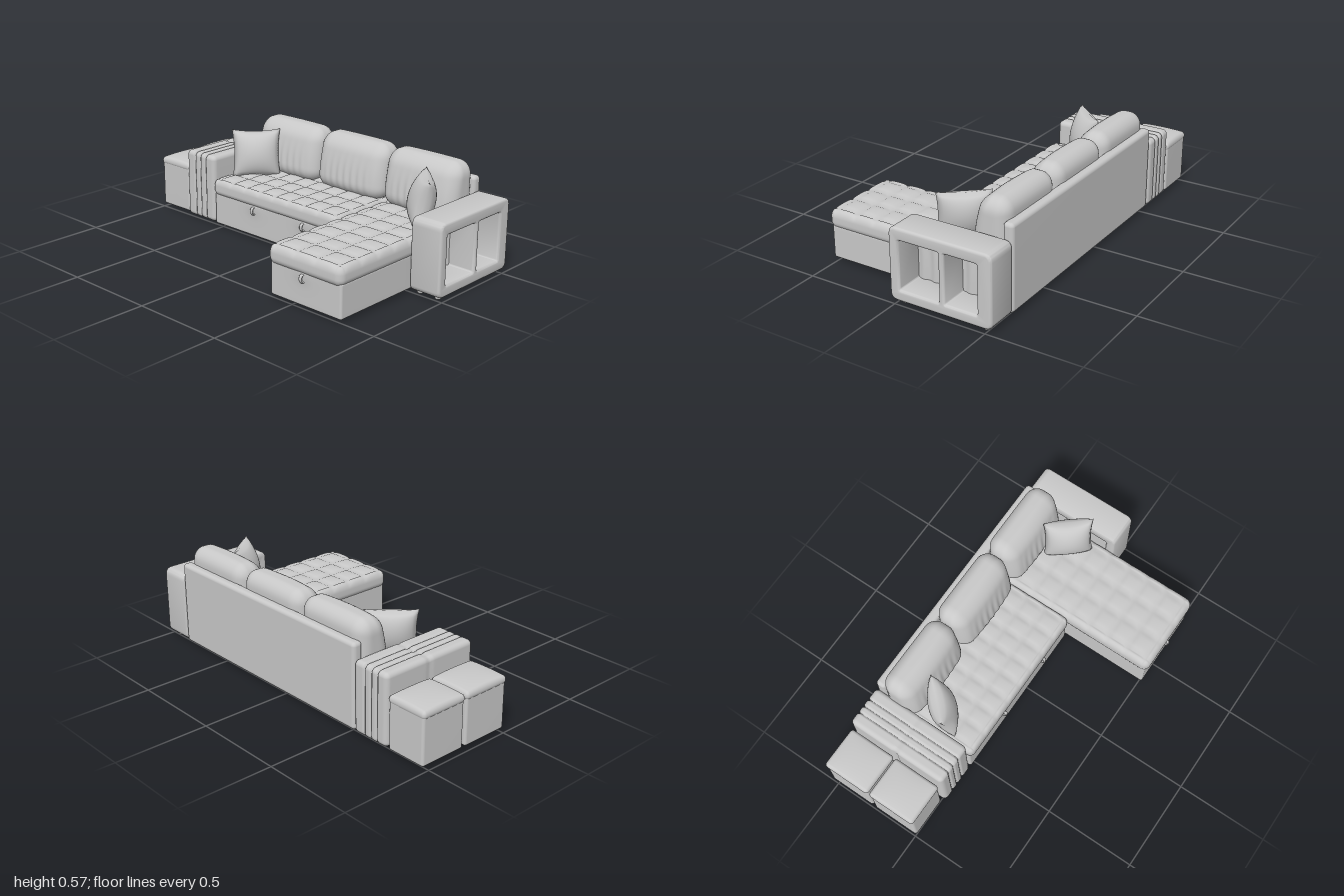
import * as THREE from 'three';
import { mergeVertices, toCreasedNormals } from 'three/addons/utils/BufferGeometryUtils.js';

const fabric = new THREE.MeshStandardMaterial({ color: 0xc8c8c8 });
fabric.name = 'greyFabric';

const dip = (v, at, width) => Math.exp(-(((v - at) / width) ** 2));

function smooth(geo) {
  geo.deleteAttribute('normal');
  geo.deleteAttribute('uv');
  const merged = mergeVertices(geo);
  merged.computeVertexNormals();
  return merged;
}

// Rounded upholstered block between two corners; shape(v) moves each point further
function softBox(min, max, r, segs, shape) {
  const K = 4;
  const size = max.map((m, i) => m - min[i]);
  const n = segs.map((s) => s + 2 * K);
  const geo = new THREE.BoxGeometry(1, 1, 1, ...n);
  const pos = geo.attributes.position;
  const place = (i, count, len) => {
    const edge = (k) => r * (1 - Math.tan((Math.PI / 4) * (1 - k / K)));
    if (i <= K) return -len / 2 + edge(i);
    if (i >= count - K) return len / 2 - edge(count - i);
    return -len / 2 + r + ((i - K) / (count - 2 * K)) * (len - 2 * r);
  };
  const v = new THREE.Vector3(), core = new THREE.Vector3();
  for (let i = 0; i < pos.count; i++) {
    v.fromBufferAttribute(pos, i);
    const p = v.toArray().map((c, a) => place(Math.round((c + 0.5) * n[a]), n[a], size[a]));
    v.fromArray(p);
    core.fromArray(p.map((c, a) => THREE.MathUtils.clamp(c, r - size[a] / 2, size[a] / 2 - r)));
    v.sub(core).setLength(r).add(core);
    v.x += (min[0] + max[0]) / 2;
    v.y += (min[1] + max[1]) / 2;
    v.z += (min[2] + max[2]) / 2;
    if (shape) shape(v);
    pos.setXYZ(i, v.x, v.y, v.z);
  }
  return smooth(geo);
}

// Seat with a quilted top of cols x rows cells
function quiltedSeat(min, max, r, cols, rows) {
  return softBox(min, max, r, [cols * 6, 2, rows * 6], (v) => {
    const top = THREE.MathUtils.smoothstep(v.y, max[1] - r, max[1]);
    const u = (v.x - min[0] - r) / (max[0] - min[0] - 2 * r) * cols;
    const w = (v.z - min[2] - r) / (max[2] - min[2] - 2 * r) * rows;
    const puff = Math.abs(Math.sin(Math.PI * u) * Math.sin(Math.PI * w)) ** 0.35;
    v.y += top * (0.011 * puff - 0.002);
  });
}

// Square throw pillow with pointed corners
function pillowGeometry(half, thick) {
  const geo = new THREE.BoxGeometry(2, 2, 2, 20, 20, 1);
  const pos = geo.attributes.position;
  for (let i = 0; i < pos.count; i++) {
    const x = pos.getX(i), y = pos.getY(i), a = 1 - x * x, b = 1 - y * y;
    pos.setXYZ(i, half * x * (1 - 0.09 * b), half * y * (1 - 0.09 * a),
      Math.sign(pos.getZ(i)) * thick * Math.max(0, a * b) ** 0.5);
  }
  return smooth(geo);
}

// Outline of a rounded rectangle
function roundRect(path, x0, y0, x1, y1, r) {
  path.moveTo(x0 + r, y0);
  path.lineTo(x1 - r, y0).quadraticCurveTo(x1, y0, x1, y0 + r);
  path.lineTo(x1, y1 - r).quadraticCurveTo(x1, y1, x1 - r, y1);
  path.lineTo(x0 + r, y1).quadraticCurveTo(x0, y1, x0, y1 - r);
  path.lineTo(x0, y0 + r).quadraticCurveTo(x0, y0, x0 + r, y0);
  return path;
}

export function createModel() {
  const model = new THREE.Group();
  model.name = 'sectionalSofa';
  const add = (name, geo) => {
    const mesh = new THREE.Mesh(geo, fabric);
    mesh.name = name;
    model.add(mesh);
    return mesh;
  };

  // Bases, pulled slightly outward under each strap handle
  const pull = (front, xs) => (v) => {
    if (v.z > front - 0.03) for (const x of xs) v.z += 0.007 * dip(v.x, x, 0.05) * dip(v.y, 0.18, 0.04);
  };
  add('sofaBase', softBox([-0.535, 0.02, -0.5], [0.368, 0.2, 0.026], 0.012, [48, 10, 2], pull(0.026, [-0.23, 0.13])));
  add('chaiseBase', softBox([0.372, 0.02, -0.5], [0.818, 0.2, 0.515], 0.012, [30, 10, 2], pull(0.515, [0.585])));

  // Seats
  add('sofaSeat', quiltedSeat([-0.535, 0.19, -0.48], [0.366, 0.278, 0.042], 0.03, 8, 4));
  add('chaiseSeat', quiltedSeat([0.364, 0.18, -0.48], [0.825, 0.28, 0.53], 0.038, 3, 8));

  // Back panel
  add('backPanel', softBox([-0.54, 0.02, -0.535], [0.822, 0.472, -0.478], 0.02, [2, 2, 2]));

  // Back cushions: upright behind, leaning in front, with soft creases low down
  for (const [x0, x1] of [[-0.55, -0.095], [-0.092, 0.36], [0.363, 0.818]]) {
    add('backCushion', softBox([x0, 0.265, -0.495], [x1, 0.558, -0.295], 0.07, [44, 14, 4], (v) => {
      const t = (v.y - 0.265) / 0.293, s = (v.x - x0) / (x1 - x0);
      const front = THREE.MathUtils.smoothstep(v.z, -0.47, -0.3);
      const bulge = Math.sin(Math.PI * THREE.MathUtils.clamp(s, 0, 1));
      v.z += front * (-0.055 * t * t + 0.012 * bulge);
      v.z += front * 0.003 * Math.sin(s * 62 + 2 * Math.sin(t * 4)) * dip(t, 0.35, 0.25) * bulge;
      v.y += 0.008 * t * bulge ** 0.4;
    }));
  }

  // Throw pillows in the corners
  for (const [x, turn] of [[-0.435, 0.83], [0.71, -0.86]]) {
    const pillow = add('throwPillow', pillowGeometry(0.133, 0.07));
    pillow.position.set(x, 0.397, -0.198);
    pillow.rotation.set(-0.2, turn, 0, 'YXZ');
  }

  // Arm with two open shelves facing outward
  const side = roundRect(new THREE.Shape(), -0.025, 0.02, 0.535, 0.397, 0.04);
  side.holes.push(roundRect(new THREE.Path(), 0.03, 0.08, 0.25, 0.333, 0.008));
  side.holes.push(roundRect(new THREE.Path(), 0.282, 0.08, 0.457, 0.333, 0.008));
  const bevel = 0.014;
  const frame = new THREE.ExtrudeGeometry(side, {
    depth: 0.178 - 2 * bevel, bevelThickness: bevel, bevelSize: bevel, bevelOffset: -bevel,
    bevelSegments: 4, curveSegments: 8,
  });
  frame.rotateY(Math.PI / 2).translate(0.822 + bevel, 0, 0);
  add('shelfArm', toCreasedNormals(frame, 0.6));
  add('shelfLining', softBox([0.828, 0.06, -0.48], [0.85, 0.35, -0.01], 0.005, [1, 4, 70], (v) => {
    if (v.x > 0.84) v.x += 0.004 * Math.sin(v.z * 95 + 1.5 * Math.sin(v.y * 9));
  }));

  // Padded arm with channels running over it and a seam across
  add('channelArm', softBox([-0.762, 0.02, -0.537], [-0.54, 0.398, 0.026], 0.025, [56, 8, 40], (v) => {
    const seam = dip(v.z, -0.262, 0.012);
    let g = 0;
    for (const x of [-0.695, -0.655, -0.612]) g += 0.008 * dip(v.x, x, 0.006);
    if (v.y > 0.37) v.y -= g + 0.006 * seam;
    if (v.z > 0) v.z -= g;
    if (v.z < -0.51) v.z += g;
    if (v.x < -0.74) v.x += 0.006 * seam;
  }));

  // Two stools at the end
  for (const [z0, z1] of [[-0.537, -0.27], [-0.262, 0.008]]) {
    add('stoolBase', softBox([-0.994, 0.022, z0 + 0.003], [-0.772, 0.285, z1 - 0.003], 0.014, [2, 2, 2]));
    add('stoolCushion', softBox([-1, 0.262, z0], [-0.768, 0.3, z1], 0.018, [14, 1, 14], (v) => {
      const a = 1 - ((v.x + 0.884) / 0.116) ** 2, b = 1 - ((v.z - (z0 + z1) / 2) / ((z1 - z0) / 2)) ** 2;
      if (v.y > 0.285) v.y += 0.017 * Math.sqrt(Math.max(0, a * b));
    }));
  }

  // Strap handles
  for (const [x, y, z] of [[-0.23, 0.166, 0.034], [0.13, 0.166, 0.034], [0.585, 0.163, 0.523]]) {
    const loop = add('strapHandle', new THREE.TorusGeometry(0.016, 0.0035, 8, 20).rotateY(Math.PI / 2).scale(3, 1.2, 0.8));
    loop.position.set(x, y, z);
  }

  // Feet
  const feet = [[0.41, 0.46], [0.765, 0.46]];
  for (const x of [-0.49, -0.095, 0.37, 0.85, 0.955]) feet.push([x, -0.03], [x, -0.485]);
  for (const [x, z] of feet) {
    const foot = add('foot', new THREE.CylinderGeometry(0.021, 0.014, 0.024, 16));
    foot.position.set(x, 0.012, z);
  }
  return model;
}
